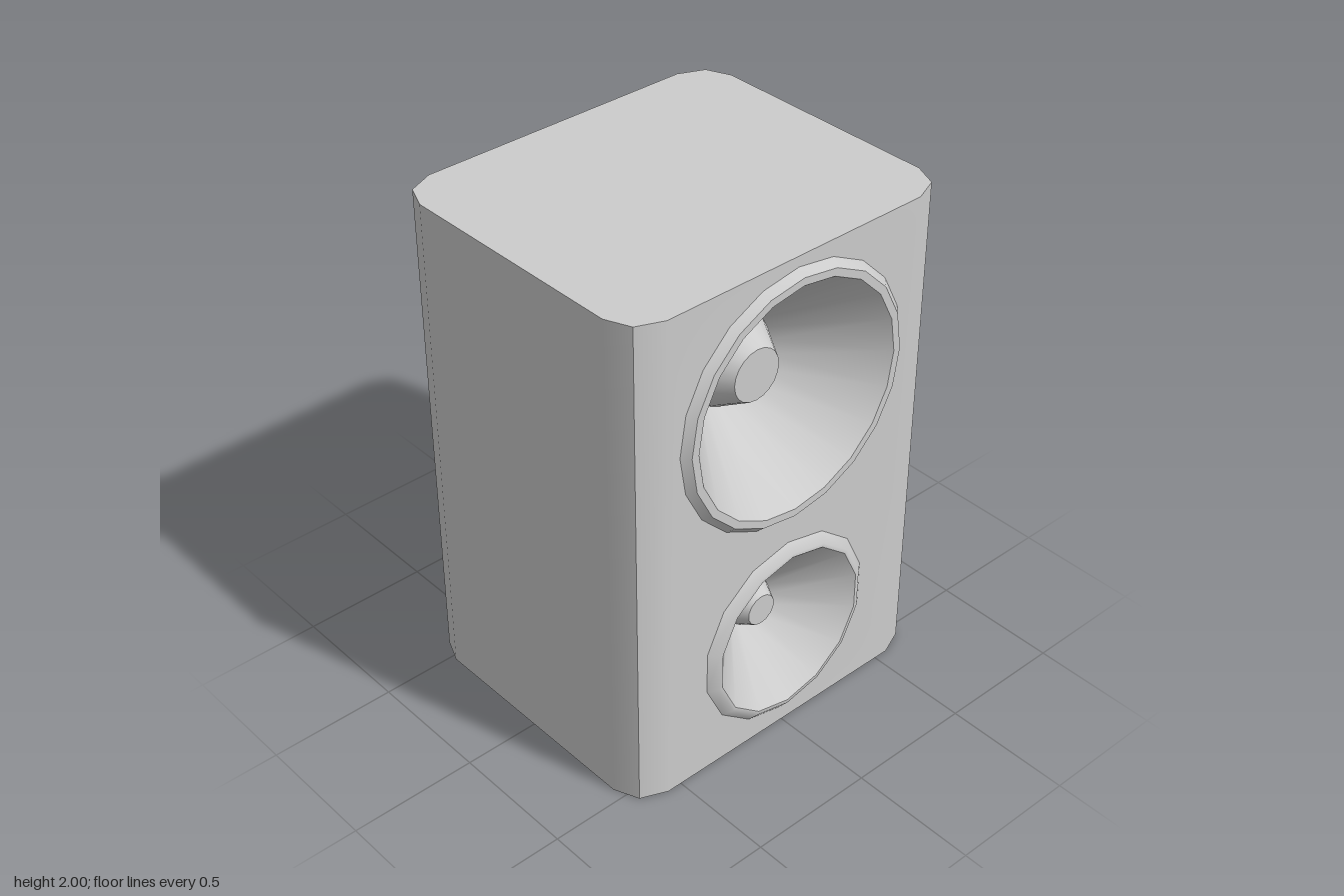
import * as THREE from 'three';
import { mergeGeometries, toCreasedNormals } from 'three/addons/utils/BufferGeometryUtils.js';

const H = 2, FRONT = 0.587, RIM = 0.615;
const rad = THREE.MathUtils.degToRad;
const material = new THREE.MeshStandardMaterial({ color: 0xcccccc });

// Each profile runs [radius, z] from the outer rim, down the cone, up to the cap centre
const drivers = [
  { name: 'woofer', y: 1.452, sides: 20, crease: 40,
    profile: [[0.507, FRONT], [0.48, RIM], [0.45, RIM], [0.18, 0.28], [0.103, 0.41], [0, 0.41]] },
  { name: 'midDriver', y: 0.451, sides: 14, crease: 41,
    profile: [[0.387, FRONT], [0.352, RIM], [0.337, RIM], [0.1, 0.395], [0.063, 0.465], [0, 0.465]] },
];

// Chamfered outline of the cabinet, [x, z], from front right around the back
const half = [[0.56, FRONT], [0.66, 0.545], [0.7, 0.45], [0.7, -0.477], [0.66, -0.572], [0.56, -0.615]];
const outline = [...half, ...half.map(([x, z]) => [-x, z]).reverse()];

// Vertical walls, leaving the front open for the baffle
function walls() {
  const pos = [];
  for (let i = 0; i < outline.length - 1; i++) {
    const [ax, az] = outline[i], [bx, bz] = outline[i + 1];
    pos.push(ax, 0, az, bx, 0, bz, bx, H, bz, ax, 0, az, bx, H, bz, ax, H, az);
  }
  return new THREE.BufferGeometry().setAttribute('position', new THREE.Float32BufferAttribute(pos, 3));
}

// Flat top or bottom
function lid(top) {
  const s = top ? -1 : 1;
  const shape = new THREE.Shape(outline.map(([x, z]) => new THREE.Vector2(x, s * z)));
  return new THREE.ShapeGeometry(shape).rotateX(s * Math.PI / 2).translate(0, top ? H : 0, 0);
}

// Front panel with a hole for each driver
function baffle() {
  const w = half[0][0];
  const shape = new THREE.Shape([[-w, 0], [w, 0], [w, H], [-w, H]].map(p => new THREE.Vector2(...p)));
  for (const { y, sides, profile } of drivers) {
    const pts = [];
    for (let i = 0; i < sides; i++) {
      const a = (i / sides) * Math.PI * 2, r = profile[0][0];
      pts.push(new THREE.Vector2(r * Math.sin(a), y + r * Math.cos(a)));
    }
    shape.holes.push(new THREE.Path(pts));
  }
  return new THREE.ShapeGeometry(shape).translate(0, 0, FRONT);
}

function bare(geometry) {
  const g = geometry.index ? geometry.toNonIndexed() : geometry;
  g.deleteAttribute('uv');
  g.deleteAttribute('normal');
  return g;
}

export function createModel() {
  const group = new THREE.Group();
  const add = (name, geometry, crease) => {
    const mesh = new THREE.Mesh(toCreasedNormals(geometry, rad(crease)), material);
    mesh.name = name;
    group.add(mesh);
    return mesh;
  };

  add('cabinet', mergeGeometries([walls(), lid(true), lid(false), baffle()].map(bare)), 30);

  // Recessed cones with raised rims and blunt centre caps
  for (const { name, y, sides, crease, profile } of drivers) {
    const lathe = new THREE.LatheGeometry(profile.map(p => new THREE.Vector2(...p)), sides);
    add(name, lathe.rotateX(Math.PI / 2), crease).position.y = y;
  }
  return group;
}
